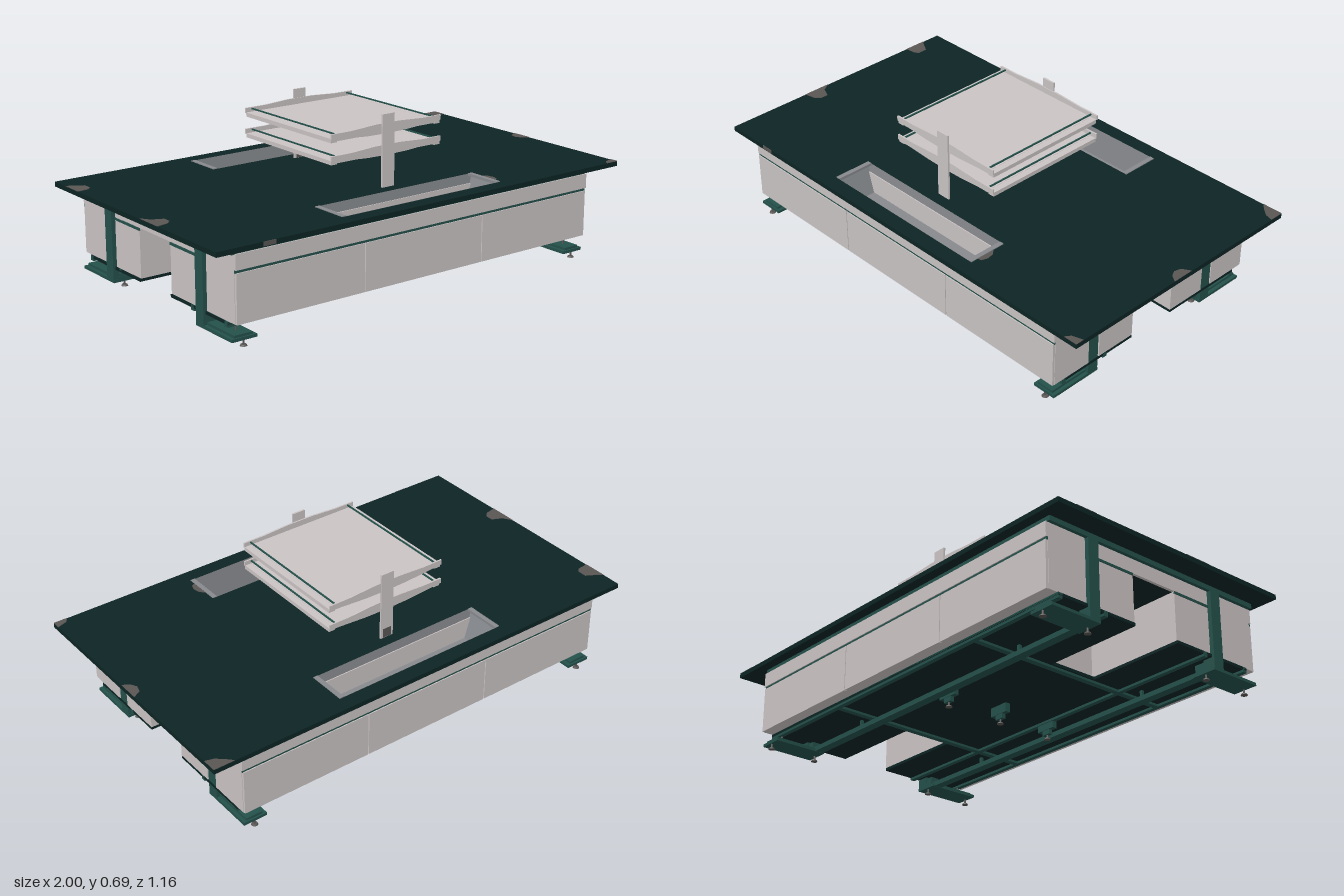
import * as THREE from 'three';

const mat = (name, color, side = THREE.FrontSide) =>
  Object.assign(new THREE.MeshStandardMaterial({ color, side }), { name });

export function createModel() {
  const model = new THREE.Group();
  model.name = 'labBench';
  const panel = mat('warm grey panel', 0xcac3c3);
  const green = mat('green frame', 0x24504a);
  const dark = mat('dark green worktop', 0x0d2424);
  const steel = mat('sink grey', 0x86898d, THREE.DoubleSide);
  const chip = mat('worn grey', 0x595654);

  const add = (name, geo, material, parent = model) => {
    const mesh = new THREE.Mesh(geo, material);
    mesh.name = name;
    parent.add(mesh);
    return mesh;
  };
  // Box given by its limits on each axis
  const box = (name, m, x0, x1, y0, y1, z0, z1) => {
    const a = Math.min(z0, z1), b = Math.max(z0, z1);
    const g = new THREE.BoxGeometry(x1 - x0, y1 - y0, b - a);
    g.translate((x0 + x1) / 2, (y0 + y1) / 2, (a + b) / 2);
    return add(name, g, m);
  };
  // Levelling glide: a disc with a thin stem
  const glide = (x, z, top) => {
    const foot = new THREE.CylinderGeometry(0.011, 0.014, 0.006, 12);
    add('glideDisc', foot.translate(x, 0.003, z), chip);
    const stem = new THREE.CylinderGeometry(0.004, 0.004, top, 8);
    add('glideStem', stem.translate(x, top / 2, z), chip);
  };
  // Flat outline on the ground plane, raised to a plate
  const plate = (name, shape, y, h, m) => {
    const g = new THREE.ExtrudeGeometry(shape, { depth: h, bevelEnabled: false });
    return add(name, g.rotateX(-Math.PI / 2).translate(0, y, 0), m);
  };
  const outline = (pts) => new THREE.Shape(pts.map(([x, z]) => new THREE.Vector2(x, -z)));
  const rect = (x0, x1, z0, z1) => [[x0, z0], [x1, z0], [x1, z1], [x0, z1]];

  const L = -0.895, R = 0.855;

  // Worktop with two sink cut-outs
  const top = outline(rect(-1, 1, -0.577, 0.577));
  for (const s of [1, -1]) top.holes.push(outline(rect(-0.4, 0.395, s * 0.345, s * 0.512)));
  plate('worktop', top, 0.373, 0.02, dark);

  // Worn patches along the worktop edge
  const patches = [
    [[-1, -0.49], [-0.97, -0.47], [-0.935, -0.45], [-0.935, -0.41], [-0.95, -0.395], [-1, -0.39]],
    [[-1, 0.07], [-0.975, 0.11], [-0.93, 0.13], [-0.93, 0.165], [-0.95, 0.185], [-1, 0.195]],
    [[0.91, -0.577], [1, -0.577], [1, -0.515], [0.965, -0.525], [0.935, -0.55]],
    [[1, -0.04], [1, 0.055], [0.97, 0.035], [0.957, 0.01], [0.965, -0.02]],
    [[1, 0.54], [1, 0.577], [0.94, 0.577], [0.955, 0.555]],
    [[0.397, 0.40], [0.415, 0.42], [0.42, 0.45], [0.412, 0.475], [0.397, 0.48]],
  ];
  for (const p of patches) plate('wornPatch', outline(p), 0.393, 0.002, chip);
  box('edgePatch', chip, -0.8, -0.745, 0.376, 0.393, 0.576, 0.579);

  for (const s of [1, -1]) {
    // Sink basin with sloping walls
    const walls = new THREE.CylinderGeometry(Math.SQRT1_2, Math.SQRT1_2 * 0.9, 0.13, 4, 1, true)
      .rotateY(Math.PI / 4).toNonIndexed();
    walls.scale(0.795, 1, 0.167);
    walls.computeVertexNormals();
    add('sinkWalls', walls.translate(-0.0025, 0.329, s * 0.4285), steel);
    box('sinkFloor', steel, -0.36, 0.355, 0.262, 0.266, s * 0.353, s * 0.504);
    for (const x of [-0.4, 0.375]) box('sinkEndRim', steel, x, x + 0.02, 0.385, 0.396, s * 0.345, s * 0.512);

    // Long side cabinet, hollow so the sink can hang inside
    box('cabinetInnerWall', panel, L, R, 0.09, 0.355, s * 0.35, s * 0.354);
    box('cabinetFloor', panel, L, R, 0.09, 0.096, s * 0.35, s * 0.53);
    for (const x of [L, R - 0.008]) box('cabinetEnd', panel, x, x + 0.008, 0.09, 0.355, s * 0.35, s * 0.53);
    box('cabinetBacking', dark, L + 0.004, R - 0.004, 0.094, 0.354, s * 0.522, s * 0.532);
    box('handleStrip', green, L, R, 0.282, 0.294, s * 0.53, s * 0.536);
    box('cabinetTopBand', panel, L, R + 0.003, 0.294, 0.355, s * 0.528, s * 0.54);
    const seams = [L, -0.312, 0.277, R];
    for (let i = 0; i < 3; i++)
      box('drawerFront', panel, seams[i] + 0.002, seams[i + 1] - 0.002, 0.09, 0.283, s * 0.528, s * 0.54);

    // Upper frame rails
    box('topRail', green, L, R, 0.355, 0.373, s * 0.52, s * 0.535);
    box('innerTopRail', green, L, R, 0.355, 0.373, s * 0.297, s * 0.343);

    // Legs with feet and a stretcher between them
    for (const [x0, x1, f0, f1] of [[-0.91, -0.855, -0.91, -0.8], [0.8, 0.853, 0.75, 0.853]]) {
      box('leg', green, x0, x1, 0.025, 0.373, s * 0.297, s * 0.347);
      box('foot', green, f0, f1, 0.024, 0.036, s * 0.295, s * 0.53);
      box('footCap', green, f0 + 0.015, f1 - 0.015, 0.036, 0.046, s * 0.295, s * 0.523);
      box('footBlock', green, f0 + 0.02, f1 - 0.01, 0.046, 0.072, s * 0.3, s * 0.34);
      for (const z of [0.308, 0.522]) glide((f0 + f1) / 2, s * z, 0.026);
      const pin = new THREE.CylinderGeometry(0.004, 0.004, 0.03, 8);
      add('supportPin', pin.translate((f0 + f1) / 2, 0.06, s * 0.475), chip);
      box('endTopRail', green, x0, x1, 0.353, 0.373, 0, s * 0.535);
    }
    box('stretcher', green, -0.87, 0.82, 0.025, 0.045, s * 0.302, s * 0.34);
    for (const x of [-0.51, 0.453]) box('stretcherPost', green, x - 0.006, x + 0.006, 0.045, 0.075, s * 0.315, s * 0.327);
    box('baseRail', green, -0.9, R, 0.068, 0.09, s * 0.47, s * 0.49);
    box('baseInnerRail', green, -0.9, R, 0.068, 0.09, s * 0.25, s * 0.27);

    // End cupboards either side of the knee space
    for (const [x0, x1, e] of [[L, -0.45, -1], [0.41, R, 1]]) {
      box('endCupboard', panel, x0, x1, 0.09, 0.293, s * 0.11, s * 0.293);
      const face = e < 0 ? x0 : x1;
      box('cupboardStrip', green, face - 0.003, face + 0.003, 0.283, 0.293, s * 0.11, s * 0.293);
    }
  }

  // Middle core and end bands above the knee spaces
  box('centreCore', panel, -0.45, 0.41, 0.09, 0.355, -0.293, 0.293);
  box('endBand', panel, L, L + 0.012, 0.294, 0.355, -0.293, 0.293);
  box('endBand', panel, R - 0.012, R, 0.294, 0.355, -0.293, 0.293);

  // Base board notched at both knee spaces, with cross rails beneath
  const base = outline([[-0.9, -0.49], [R, -0.49], [R, -0.11], [0.42, -0.11], [0.42, 0.11], [R, 0.11],
    [R, 0.49], [-0.9, 0.49], [-0.9, 0.11], [-0.46, 0.11], [-0.46, -0.11], [-0.9, -0.11]]);
  plate('baseBoard', base, 0.078, 0.012, dark);
  for (const x of [-0.44, 0.4]) box('crossRail', green, x - 0.012, x + 0.012, 0.068, 0.08, -0.49, 0.49);

  // Central support plates
  for (const z of [0.265, 0.01, -0.255]) {
    box('supportPlate', green, -0.07, 0.02, 0.04, 0.08, z - 0.011, z + 0.011);
    box('supportPlateFoot', green, -0.045, -0.005, 0.02, 0.04, z - 0.009, z + 0.009);
    glide(-0.025, z, 0.022);
  }

  // Two-tier shelf on a pair of posts
  for (const z of [0.289, -0.293]) box('shelfPost', panel, -0.03, 0.03, 0.39, 0.688, z - 0.004, z + 0.004);
  box('postPatch', chip, -0.02, 0.02, 0.395, 0.435, -0.298, -0.285);
  for (const y of [0.606, 0.519]) {
    box('shelfBoard', panel, -0.25, 0.245, y + 0.006, y + 0.019, -0.285, 0.281);
    for (const s of [1, -1]) {
      // Tapered arm, deeper near the post
      const arm = new THREE.Shape([[0, 0.002], [0.1, 0.004], [0.275, 0.016], [0.275, 0.037], [0.18, 0.037],
        [0.06, 0.044], [0, 0.044]].map(([x, h]) => new THREE.Vector2(s * x, y + h)));
      for (const z of [0.279, -0.293]) {
        const g = new THREE.ExtrudeGeometry(arm, { depth: 0.007, bevelEnabled: false });
        add('shelfArm', g.translate(0, 0, z), panel);
      }
      const x = s * 0.26;
      box('shelfEdge', panel, x - 0.014, x + 0.014, y + 0.002, y + 0.019, -0.285, 0.281);
      box('guardRail', green, s * 0.245 - 0.003, s * 0.245 + 0.003, y + 0.029, y + 0.034, -0.285, 0.281);
    }
  }
  return model;
}
